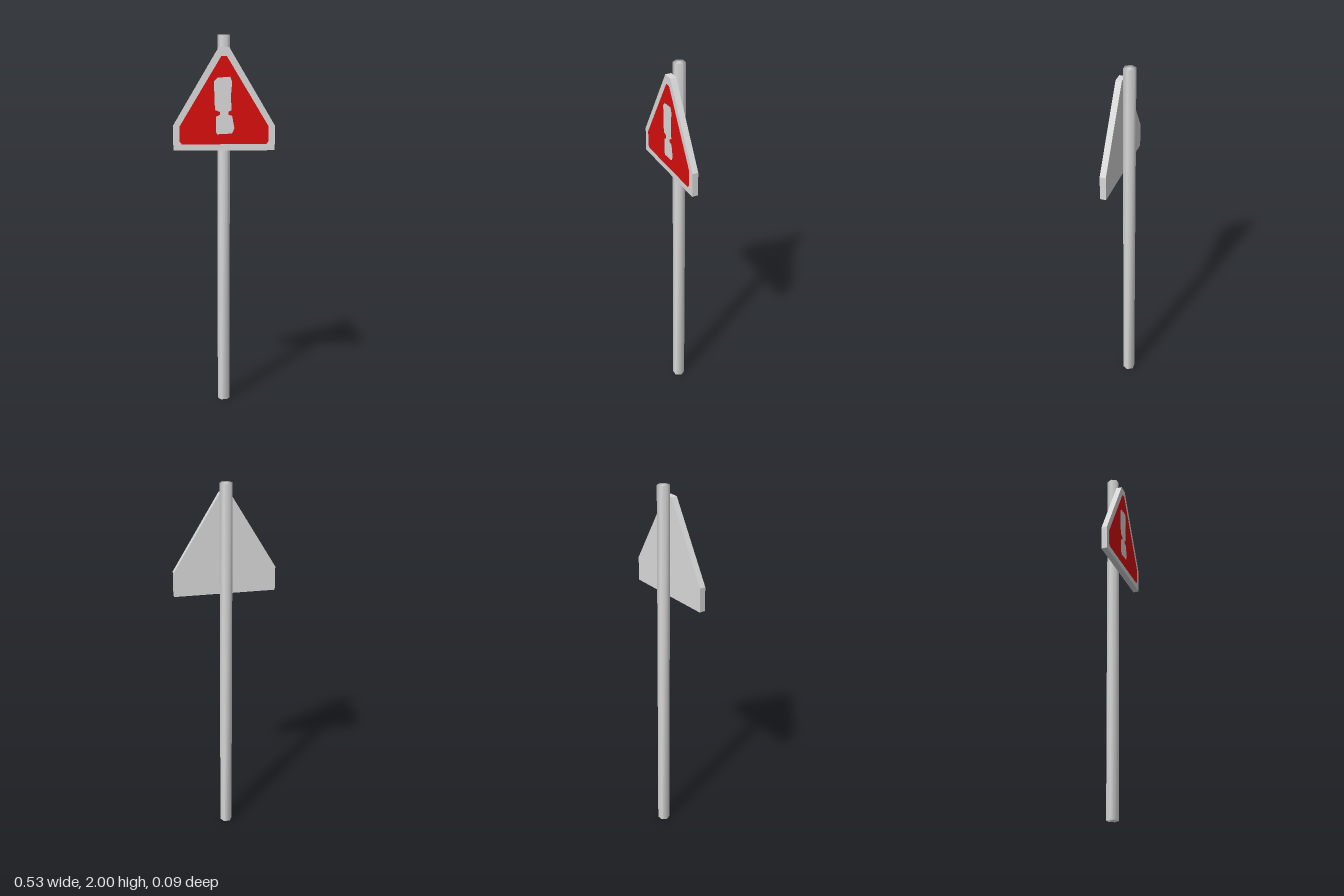
import * as THREE from 'three';
import { mergeVertices } from 'three/addons/utils/BufferGeometryUtils.js';

const toPoints = (list) => list.map(([x, y]) => new THREE.Vector2(x, y));

// Mirrors the +x half of an outline (listed bottom to top) into a closed shape.
function mirroredShape(half) {
  const left = half.map(([x, y]) => [-x, y]).reverse();
  return new THREE.Shape(toPoints([...half, ...left]));
}

export function createModel() {
  const grey = new THREE.MeshStandardMaterial({ color: 0xdadada });
  grey.name = 'light grey metal';
  const red = new THREE.MeshStandardMaterial({ color: 0xda0e0e });
  red.name = 'warning red';

  const group = new THREE.Group();
  group.name = 'warningSign';
  const add = (name, geometry, material) => {
    const mesh = new THREE.Mesh(geometry, material);
    mesh.name = name;
    group.add(mesh);
    return mesh;
  };

  // Six-sided post, shaded smoothly across its sides and caps
  let postGeometry = new THREE.CylinderGeometry(0.033, 0.033, 2, 6, 1, false, Math.PI / 6);
  postGeometry.deleteAttribute('normal');
  postGeometry.deleteAttribute('uv');
  postGeometry = mergeVertices(postGeometry);
  postGeometry.computeVertexNormals();
  add('post', postGeometry, grey).position.set(0, 1, -0.018);

  // Triangular board with cut corners
  const board = mirroredShape([[0.267, 1.403], [0.267, 1.533], [0.027, 1.938]]);
  const boardGeometry = new THREE.ExtrudeGeometry(board, { depth: 0.032, bevelEnabled: false });
  add('signBoard', boardGeometry, grey).position.z = 0.012;

  // Red face, with the exclamation mark left open to the board behind
  const face = mirroredShape([[0.222, 1.436], [0.233, 1.45], [0.233, 1.53], [0.014, 1.893]]);
  face.holes.push(new THREE.Path(toPoints([
    [-0.036, 1.488], [0.042, 1.492], [0.054, 1.52], [0.042, 1.585], [0.022, 1.59],
    [0.022, 1.605], [0.04, 1.615], [0.035, 1.68], [0.042, 1.76], [0.032, 1.787],
    [-0.035, 1.782], [-0.053, 1.762], [-0.048, 1.615], [-0.022, 1.605],
    [-0.022, 1.59], [-0.042, 1.58], [-0.042, 1.5],
  ])));
  const faceGeometry = new THREE.ExtrudeGeometry(face, { depth: 0.0015, bevelEnabled: false });
  add('redFace', faceGeometry, red).position.z = 0.044;

  return group;
}
